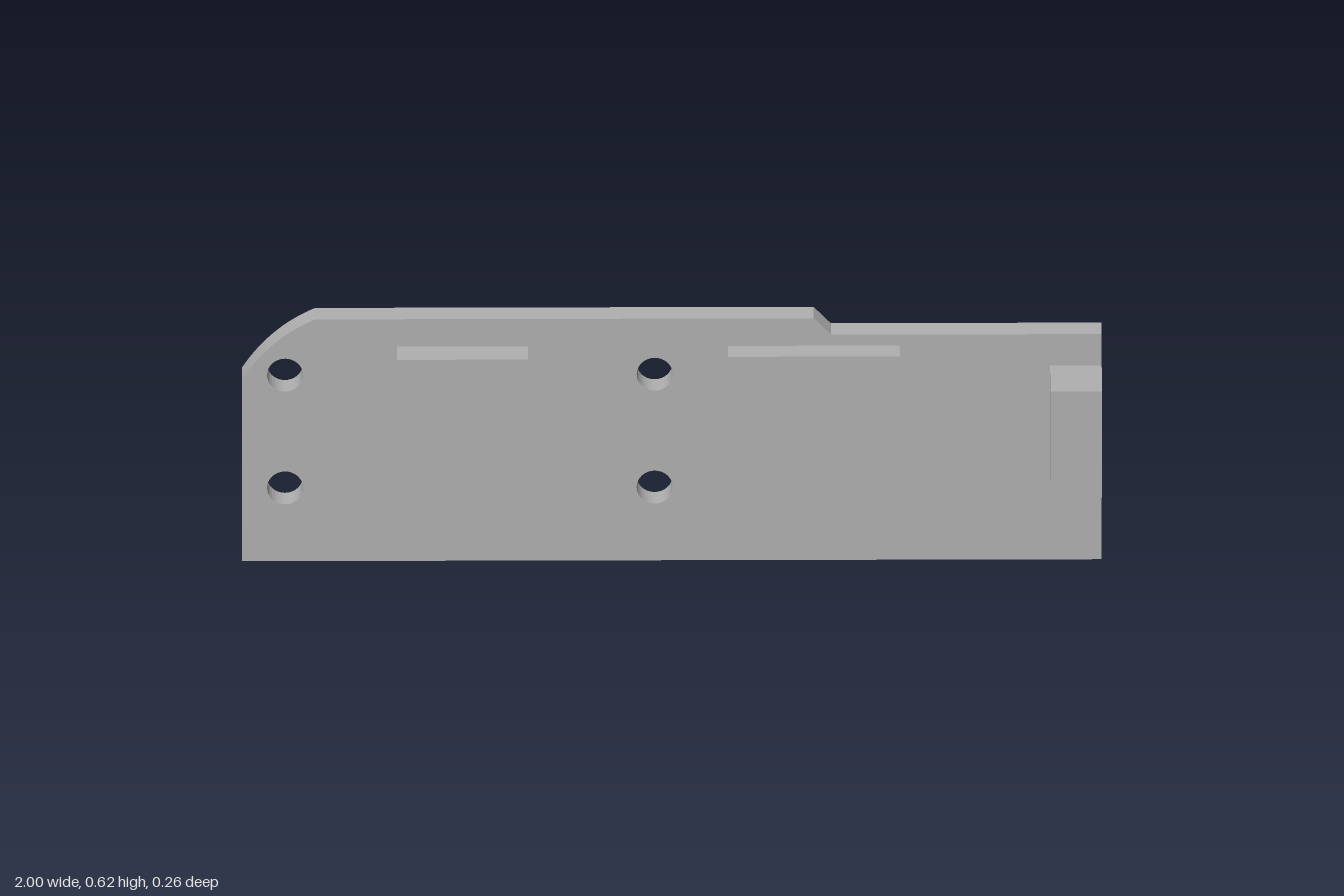
import * as THREE from 'three';

const grey = new THREE.MeshStandardMaterial({ color: 0xb0b0b0 });
grey.name = 'plain grey';

const BACK = -0.0675, FRONT = -0.0025; // faces of the circuit board

function addMesh(parent, name, geometry) {
  const mesh = new THREE.Mesh(geometry, grey);
  mesh.name = name;
  parent.add(mesh);
  return mesh;
}

// Box given by its limits on each axis
function addBox(parent, name, [x0, x1], [y0, y1], [z0, z1]) {
  const mesh = addMesh(parent, name, new THREE.BoxGeometry(x1 - x0, y1 - y0, z1 - z0));
  mesh.position.set((x0 + x1) / 2, (y0 + y1) / 2, (z0 + z1) / 2);
}

function boardGeometry() {
  // Outline with a rounded corner and a stepped top edge
  const shape = new THREE.Shape();
  shape.moveTo(-1, 0);
  shape.lineTo(1, 0);
  shape.lineTo(1, 0.575);
  shape.lineTo(0.37, 0.575);
  shape.lineTo(0.33, 0.617);
  shape.lineTo(-0.83, 0.617);
  shape.quadraticCurveTo(-0.935, 0.57, -1, 0.465);
  shape.closePath();
  // Four mounting holes
  for (const x of [-0.9, -0.04]) {
    for (const y of [0.187, 0.475]) {
      const hole = new THREE.Path();
      hole.absarc(x, y, 0.042, 0, Math.PI * 2, true);
      shape.holes.push(hole);
    }
  }
  const g = new THREE.ExtrudeGeometry(shape, { depth: FRONT - BACK, bevelEnabled: false, curveSegments: 16 });
  return g.translate(0, 0, BACK);
}

export function createModel() {
  const model = new THREE.Group();
  model.name = 'circuitBoardModule';
  model.rotation.y = 0.0175; // the whole board stands slightly turned

  addMesh(model, 'board', boardGeometry());

  // Chips on the front
  addBox(model, 'smallChip', [-0.64, -0.335], [0.38, 0.547], [FRONT, 0.072]);
  addBox(model, 'largeChip', [0.13, 0.53], [0.135, 0.547], [FRONT, 0.0593]);

  // Stepped connector on the back
  addBox(model, 'connectorBase', [-0.82, -0.17], [0.28, 0.485], [-0.1155, BACK]);
  addBox(model, 'connectorTop', [-0.79, -0.19], [0.30, 0.467], [-0.1315, -0.1155]);

  // Hollow socket, open towards the board's end
  const socket = new THREE.Group();
  socket.name = 'socket';
  model.add(socket);
  const x = [0.88, 1], y = [0.224, 0.495], z = [FRONT, 0.145], t = 0.0105;
  addBox(socket, 'socketBottom', x, [y[0], y[0] + t], z);
  addBox(socket, 'socketTop', x, [y[1] - t, y[1]], z);
  const inner = [y[0] + t, y[1] - t];
  addBox(socket, 'socketInnerWall', x, inner, [z[0], z[0] + t]);
  addBox(socket, 'socketOuterWall', x, inner, [z[1] - t, z[1]]);
  addBox(socket, 'socketEnd', [x[0], x[0] + t], inner, [z[0] + t, z[1] - t]);

  return model;
}
